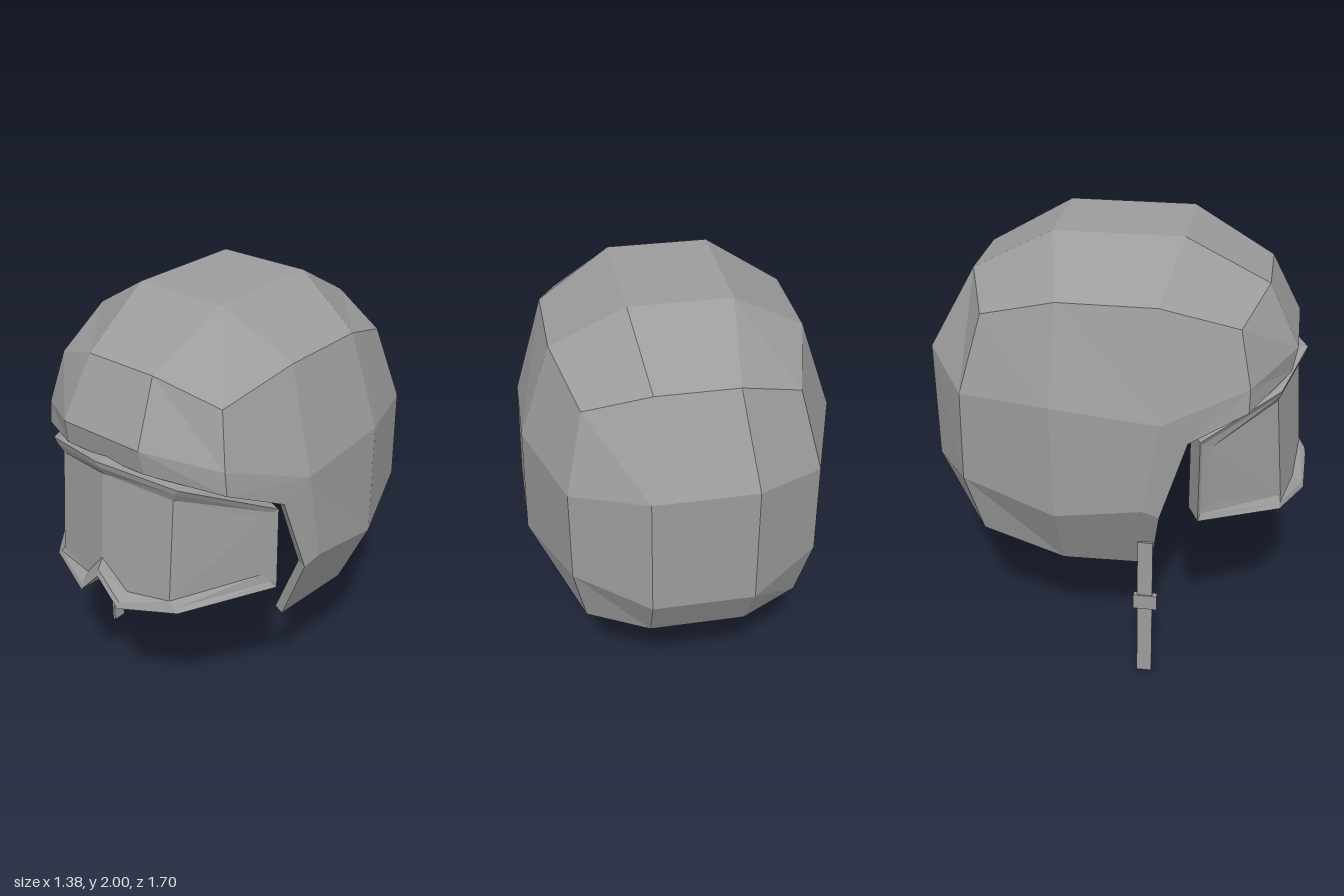
import * as THREE from 'three';

const material = new THREE.MeshStandardMaterial({ color: 0x9c9c9c, flatShading: true, side: THREE.DoubleSide });

function faceted(points, triangles, name) {
  const geometry = new THREE.BufferGeometry();
  geometry.setAttribute('position', new THREE.Float32BufferAttribute(triangles.flat().flatMap(i => points[i].toArray()), 3));
  geometry.computeVertexNormals();
  const mesh = new THREE.Mesh(geometry, material);
  mesh.name = name;
  return mesh;
}

// Left half of the shell, as named points
const half = {
  a4: [.2, .58, -.635], a3: [.21, .64, -.72], a2: [.22, .88, -.85], a1: [.22, 1.43, -.85], a0: [.175, 1.8, -.645],
  b4: [.42, .582, -.53], b3: [.475, .648, -.585], b2: [.53, .94, -.65], b1: [.53, 1.36, -.64], b0: [.45, 1.7, -.55],
  c3: [.55, .575, -.2], c2: [.69, .885, -.21], c1: [.68, 1.4, -.22], c0: [.54, 1.81, -.21],
  d3: [.51, .555, .19], d2: [.685, .94, .17], d1: [.67, 1.35, .24], d0: [.54, 1.81, .21],
  h: [.66, .9, .24], g: [.622, 1.25, .35],
  e2: [.515, 1.355, .59], e1: [.505, 1.46, .59], e0: [.45, 1.7, .54],
  f2: [.22, 1.42, .755], f1: [.21, 1.53, .775], f0: [.175, 1.8, .64],
  t0: [.22, 2, -.28], t1: [.22, 2, .28],
};
const halfFaces = [
  'a4 a3 b3 b4', 'b4 b3 c3', 'a3 a2 b2 b3', 'a2 a1 b1 b2', 'a1 a0 b0 b1',
  'b3 b2 c2 c3', 'b2 b1 c1 c2', 'b1 b0 c0 c1',
  'c3 c2 d2 d3', 'c2 c1 d1 d2', 'c1 c0 d0 d1', 'd3 d2 h', 'd2 d1 g h',
  'd1 d0 e0 e1', 'd1 e1 e2 g', 'e2 e1 f1 f2', 'e1 e0 f0 f1',
  'a0 t0 c0 b0', 't0 t1 d0 c0', 't1 f0 e0 d0',
].map(s => s.split(' '));
const centreLine = 'a4 a3 a2 a1 a0 t0 t1 f0 f1 f2'.split(' ');

function createShell(thickness) {
  const names = Object.keys(half), n = names.length;
  const outer = [1, -1].flatMap(s => names.map(k => new THREE.Vector3(half[k][0] * s, half[k][1], half[k][2])));
  const left = k => names.indexOf(k), right = k => left(k) + n;
  const faces = [];
  for (const f of halfFaces) faces.push(f.map(left), f.map(right));
  for (let i = 0; i < centreLine.length - 1; i++) {
    const [p, q] = [centreLine[i], centreLine[i + 1]];
    faces.push([left(p), left(q), right(q), right(p)]);
  }
  // Turn every face outwards and gather the point normals
  const middle = new THREE.Vector3(0, 1.2, 0);
  const normals = outer.map(() => new THREE.Vector3());
  const triangles = [], edges = new Map();
  for (const f of faces) {
    const [p, q, r] = f.map(i => outer[i]);
    const normal = q.clone().sub(p).cross(r.clone().sub(p)).normalize();
    if (normal.dot(p.clone().sub(middle)) < 0) { f.reverse(); normal.negate(); }
    f.forEach((v, i) => {
      normals[v].add(normal);
      edges.set(v + '_' + f[(i + 1) % f.length], [v, f[(i + 1) % f.length]]);
    });
    for (let i = 1; i < f.length - 1; i++) triangles.push([f[0], f[i], f[i + 1]]);
  }
  // Inner lining, then the rim along every open edge
  const m = outer.length;
  const points = [...outer, ...outer.map((p, i) => p.clone().addScaledVector(normals[i].normalize(), -thickness))];
  for (const [a, b, c] of [...triangles]) triangles.push([c + m, b + m, a + m]);
  for (const [a, b] of edges.values()) {
    if (!edges.has(b + '_' + a)) triangles.push([b, a, a + m], [b, a + m, b + m]);
  }
  return faceted(points, triangles, 'helmetShell');
}

// Closed loop from its left half: top centre, down the side, to the nose notch
function mirrorLoop(pts) {
  const l = pts.map(p => new THREE.Vector3(...p));
  return [...l, ...l.slice(1, -1).reverse().map(p => new THREE.Vector3(-p.x, p.y, p.z))];
}

function createGoggles() {
  const group = new THREE.Group();
  group.name = 'goggles';
  const front = mirrorLoop([[0, 1.435, .82], [.36, 1.385, .72], [.622, 1.255, .4], [.622, .868, .4],
    [.365, .8, .745], [.11, .766, .85], [0, .885, .85]]);
  const lensEdge = mirrorLoop([[0, 1.365, .785], [.32, 1.32, .705], [.57, 1.205, .44], [.57, .93, .44],
    [.32, .845, .745], [.12, .83, .795], [0, .965, .815]]);
  // The body is set back square to the curved front
  const back = mirrorLoop([[0, 1.43, .69], [.3, 1.385, .6], [.51, 1.25, .35], [.51, .865, .35],
    [.305, .8, .62], [.1, .77, .72], [0, .885, .72]]);
  const lip = front.map((p, i) => p.clone().lerp(lensEdge[i], .4).setZ(p.z + .2 * (lensEdge[i].z - p.z)));

  // Upright bands that fill a loop between its upper and lower edges
  const n = front.length;
  const leftBands = [[1, 4, 2], [2, 4, 3], [0, 5, 1], [1, 5, 4], [0, 6, 5]];
  const bands = [...leftBands, ...leftBands.map(t => t.map(i => (n - i) % n).reverse())];

  // Frame: strips from the lens edge around the outside, closed at the back
  const loops = [lensEdge, lip, front, back];
  const triangles = bands.map(t => t.map(i => i + 3 * n).reverse());
  for (let k = 0; k < loops.length - 1; k++) {
    for (let i = 0; i < n; i++) {
      const j = (i + 1) % n, a = k * n, b = a + n;
      triangles.push([a + i, b + i, b + j], [a + i, b + j, a + j]);
    }
  }
  group.add(faceted(loops.flat(), triangles, 'goggleFrame'), faceted(lensEdge, bands, 'lens'));
  group.position.x = .01;
  return group;
}

function box(name, size, position) {
  const mesh = new THREE.Mesh(new THREE.BoxGeometry(...size), material);
  mesh.name = name;
  mesh.position.set(...position);
  return mesh;
}

export function createModel() {
  const model = new THREE.Group();
  model.name = 'helmet';
  model.add(createShell(.045), createGoggles());

  // Hanging chin strap with its buckle
  const strap = new THREE.Group();
  strap.name = 'chinStrap';
  strap.add(
    box('strapBand', [.015, .72, .068], [-.588, .36, .173]),
    box('strapBuckle', [.026, .074, .106], [-.588, .398, .175]),
  );
  model.add(strap);
  return model;
}
